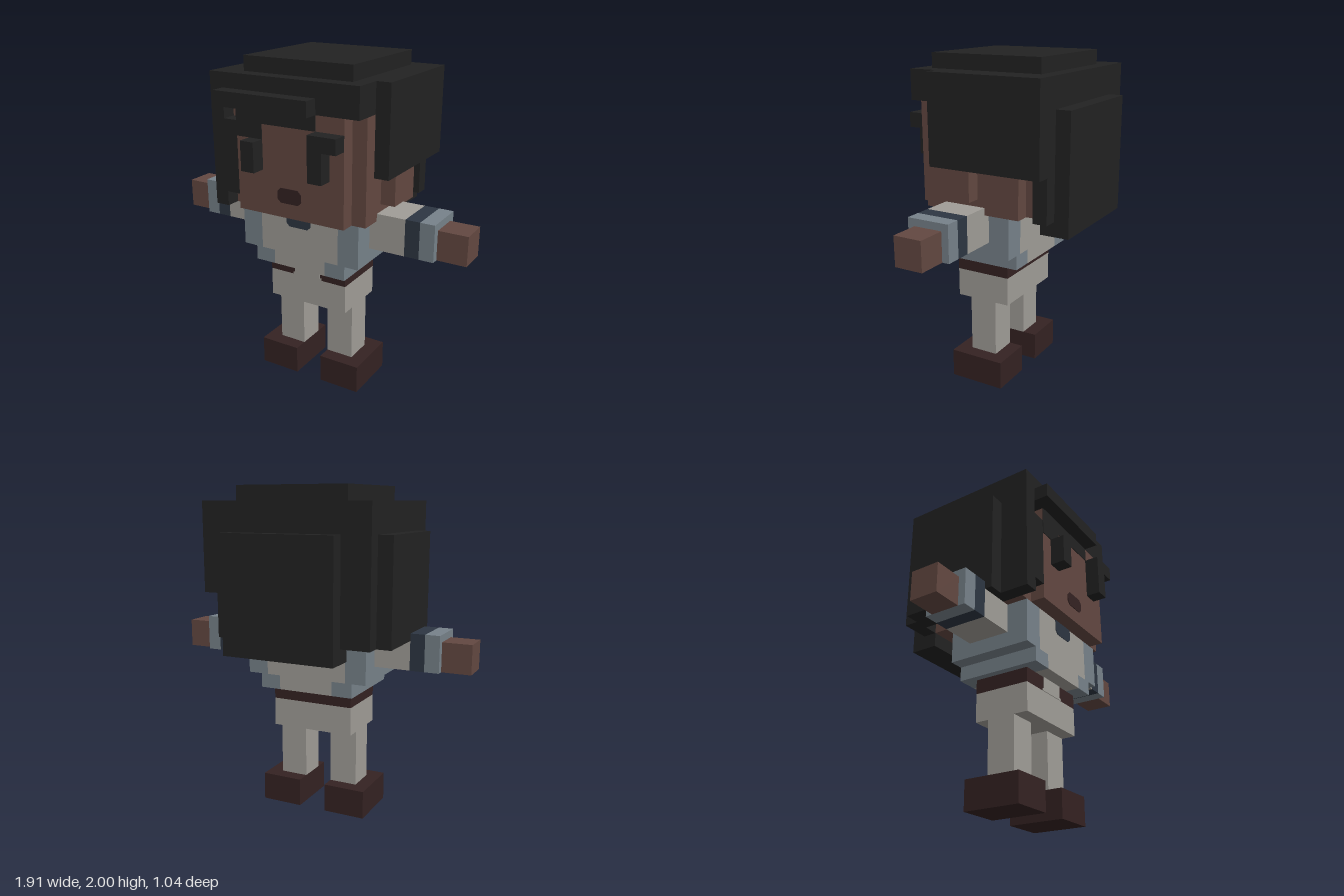
import * as THREE from 'three';

const U = 2 / 23; // one voxel

const mat = (name, color) => {
  const m = new THREE.MeshStandardMaterial({ color });
  m.name = name;
  return m;
};

export function createModel() {
  const hair = mat('hair black', 0x222222);
  const skin = mat('skin brown', 0x634841);
  const cloth = mat('cloth grey', 0xa09d97);
  const blue = mat('steel blue', 0x77828a);
  const navy = mat('navy', 0x2d3642);
  const leather = mat('dark leather', 0x342222);

  const root = new THREE.Group();
  root.name = 'voxelFigure';
  const group = (name) => {
    const g = new THREE.Group();
    g.name = name;
    root.add(g);
    return g;
  };

  // Box from voxel bounds
  const box = (parent, name, m, x0, x1, y0, y1, z0, z1) => {
    const g = new THREE.BoxGeometry((x1 - x0) * U, (y1 - y0) * U, (z1 - z0) * U);
    g.translate((x0 + x1) / 2 * U, (y0 + y1) / 2 * U, (z0 + z1) / 2 * U);
    const mesh = new THREE.Mesh(g, m);
    mesh.name = name;
    parent.add(mesh);
  };
  // Same box on both sides
  const pair = (parent, name, m, x0, x1, ...yz) => {
    box(parent, name + 'Left', m, x0, x1, ...yz);
    box(parent, name + 'Right', m, -x1, -x0, ...yz);
  };
  // Thin front plate from an outline in voxels
  const plate = (parent, name, m, z, points) => {
    const s = new THREE.Shape(points.map(([x, y]) => new THREE.Vector2(x * U, y * U)));
    const mesh = new THREE.Mesh(new THREE.ExtrudeGeometry(s, { depth: 0.004, bevelEnabled: false }), m);
    mesh.position.z = z * U;
    mesh.name = name;
    parent.add(mesh);
  };

  // Legs, hips and belt
  const legs = group('legs');
  pair(legs, 'shoe', leather, 1, 4, 0, 2, -1, 3);
  pair(legs, 'leg', cloth, 1, 3, 2, 6, 0, 2);
  box(legs, 'hips', cloth, -3, 3, 6, 8, -1, 3);
  box(legs, 'belt', leather, -3, 3, 8, 9, -1, 3);
  plate(legs, 'beltGap', cloth, 3, [[-1.15, 8], [1.15, 8], [1.15, 8.17], [1, 8.17], [1, 9], [-1, 9], [-1, 8.17], [-1.15, 8.17]]);

  // Shirt with open jacket sides
  const torso = group('torso');
  box(torso, 'shirtHem', cloth, -2, 2, 9, 10, -2, 4);
  pair(torso, 'jacketHem', blue, 2, 3.5, 9, 10, -2, 4);
  box(torso, 'shirt', cloth, -3, 3, 10, 13, -2, 4);
  pair(torso, 'jacketSide', blue, 3, 4.5, 10, 13, -2, 4);
  plate(torso, 'collar', navy, 4, [[-0.7, 12], [0.7, 12], [0.95, 12.25], [0.95, 13], [-0.95, 13], [-0.95, 12.25]]);

  // Arms held straight out
  const arms = group('arms');
  pair(arms, 'sleeve', cloth, 4, 7, 11, 13.5, -0.5, 2.5);
  pair(arms, 'sleeveStripe', navy, 7, 8, 11, 13.5, -0.5, 2.5);
  pair(arms, 'cuff', blue, 8, 9, 11, 13.5, -0.5, 2.5);
  pair(arms, 'hand', skin, 9, 11, 11, 13, 0, 2);

  // Head and face
  const head = group('head');
  box(head, 'face', skin, -4, 4, 13, 20, -4, 5);
  pair(head, 'cheek', skin, 4, 5, 13, 20, -3, 4);
  box(head, 'ear', skin, 5, 6, 14, 16, 0, 2);
  pair(head, 'eye', hair, 2, 3, 16, 18, 5, 6);
  box(head, 'browLeft', hair, 2, 4, 18, 19, 5, 6);
  plate(head, 'mouth', leather, 5, [[-0.65, 14], [0.65, 14], [0.9, 14.25], [0.9, 14.75], [0.65, 15], [-0.65, 15], [-0.9, 14.75], [-0.9, 14.25]]);

  // Hair: crown, side slabs, fringe and back
  const hairGroup = group('hair');
  box(hairGroup, 'crown', hair, -4, 4, 22, 23, -4, 4);
  box(hairGroup, 'hairTop', hair, -6, 5, 20, 22, -5, 5);
  box(hairGroup, 'hairSideLeft', hair, 5, 6, 16, 22, -5, 3);
  box(hairGroup, 'hairSideRight', hair, -6, -5, 13, 20, -5, 5);
  box(hairGroup, 'hairOuterRight', hair, -7, -6, 13, 20, -4, 3);
  box(hairGroup, 'temple', hair, -5, -4, 14, 19, 4, 5);
  box(hairGroup, 'fringe', hair, -5, 2, 20, 21, 5, 6);
  plate(hairGroup, 'hairline', hair, 5, [[-4, 18], [-2, 18], [-2, 19], [2, 19], [2, 20], [-4, 20]]);
  box(hairGroup, 'hairBackInner', hair, -5, 5, 13, 20, -5, -4);
  box(hairGroup, 'hairBackLower', hair, -4, 4, 12, 13, -5, -4);
  box(hairGroup, 'hairBack', hair, -4, 4, 12, 20, -6, -5);

  return root;
}
